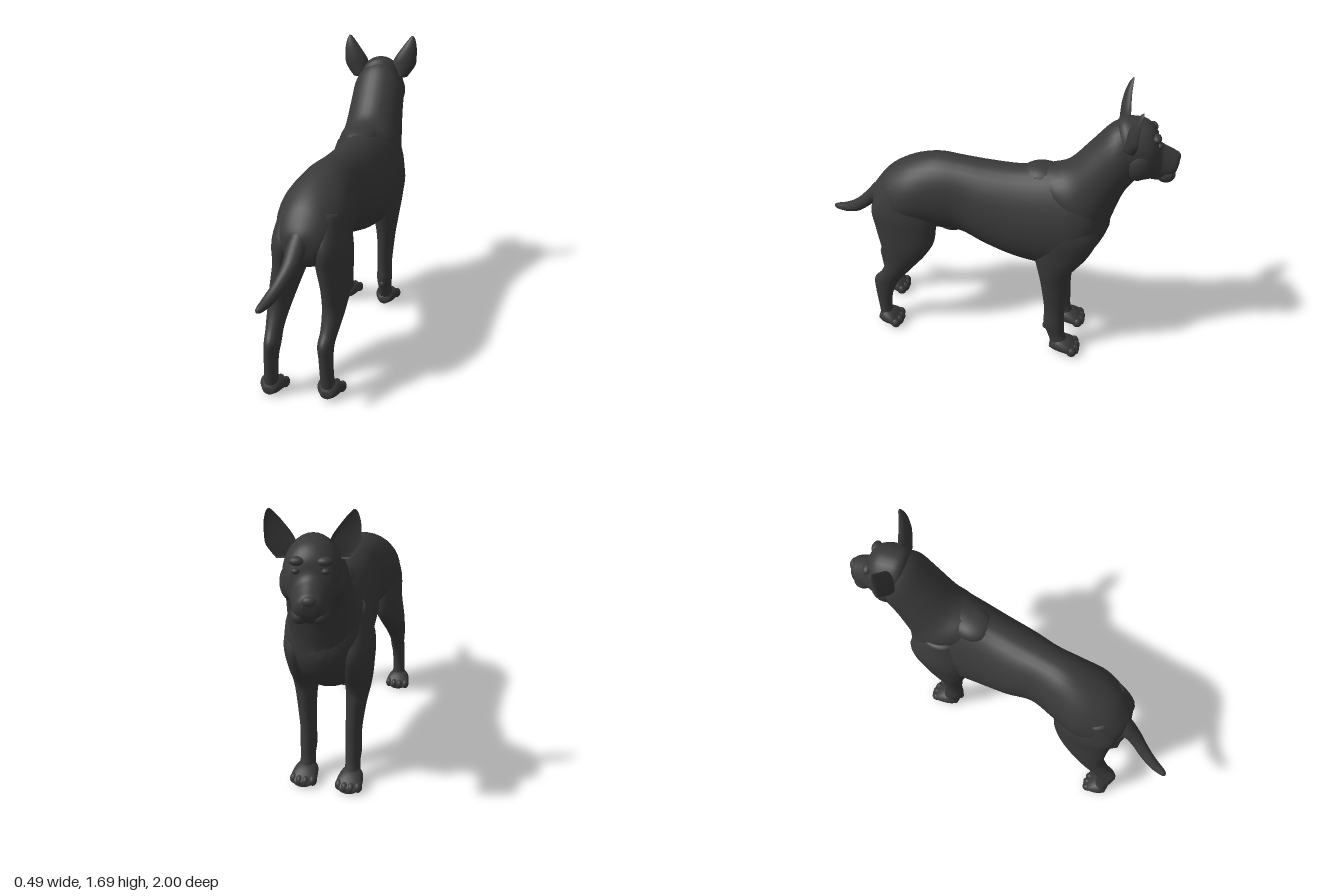
import * as THREE from 'three';

const coat = new THREE.MeshStandardMaterial({ color: 0x393939 });
coat.name = 'charcoalCoat';

// smooth interpolation of one section value
function spline(a, b, c, d, t) {
  const p = (c - a) / 2, q = (d - b) / 2;
  return b + p * t + (3 * (c - b) - 2 * p - q) * t * t + (2 * (b - c) + p + q) * t * t * t;
}

// Skin over oval sections [x, halfWidth, zA, yA, zB, yB, egg]: A and B are the two
// outline points seen from the side, egg widens the B half, cup hollows it.
function loft(name, sections, { cup = -1, warp = null, steps = 5, sides = 32 } = {}) {
  const rings = [];
  const n = sections.length - 1;
  const get = (i, k) => sections[Math.min(Math.max(i, 0), n)][k] ?? 0;
  for (let i = 0; i < n; i++) {
    for (let s = 0; s < steps; s++) {
      rings.push([0, 1, 2, 3, 4, 5, 6].map(k =>
        spline(get(i - 1, k), get(i, k), get(i + 1, k), get(i + 2, k), s / steps)));
    }
  }
  rings.push([0, 1, 2, 3, 4, 5, 6].map(k => get(n, k)));

  const pos = [], idx = [];
  const add = (x, y, z) => {
    const v = new THREE.Vector3(x, y, z);
    if (warp) warp(v);
    pos.push(v.x, v.y, v.z);
  };
  for (const [x, w, zA, yA, zB, yB, egg] of rings) {
    for (let j = 0; j < sides; j++) {
      const a = j / sides * Math.PI * 2;
      const c = Math.cos(a), s = Math.sin(a), d = s < 0 ? -cup * s : s;
      add(x + w * c * (1 - egg * s), (yA + yB) / 2 + (yA - yB) / 2 * d, (zA + zB) / 2 + (zA - zB) / 2 * d);
    }
  }
  for (let i = 0; i < rings.length - 1; i++) {
    for (let j = 0; j < sides; j++) {
      const k = (j + 1) % sides, a = i * sides + j, b = i * sides + k;
      idx.push(a, b, a + sides, b, b + sides, a + sides);
    }
  }
  // end caps
  for (const i of [0, rings.length - 1]) {
    const [x, , zA, yA, zB, yB] = rings[i];
    const centre = pos.length / 3;
    add(x, (yA + yB) / 2, (zA + zB) / 2);
    for (let j = 0; j < sides; j++) {
      const a = i * sides + j, b = i * sides + (j + 1) % sides;
      if (i === 0) idx.push(centre, b, a); else idx.push(centre, a, b);
    }
  }
  // turn the skin outward if its volume comes out negative
  const P = i => new THREE.Vector3(pos[3 * i], pos[3 * i + 1], pos[3 * i + 2]);
  let volume = 0;
  for (let i = 0; i < idx.length; i += 3) volume += P(idx[i]).dot(P(idx[i + 1]).cross(P(idx[i + 2])));
  if (volume < 0) idx.reverse();

  const g = new THREE.BufferGeometry();
  g.setAttribute('position', new THREE.Float32BufferAttribute(pos, 3));
  g.setIndex(idx);
  g.computeVertexNormals();
  const mesh = new THREE.Mesh(g, coat);
  mesh.name = name;
  return mesh;
}

function blob(name, x, y, z, rx, ry, rz) {
  const mesh = new THREE.Mesh(new THREE.SphereGeometry(1, 20, 14), coat);
  mesh.position.set(x, y, z);
  mesh.scale.set(rx, ry, rz);
  mesh.name = name;
  return mesh;
}

// Paw running forward from its heel, with four toes
function paw(x, heel, len) {
  const g = new THREE.Group();
  g.name = 'paw';
  const at = (w, t, top, bottom) => [x, w, heel - len * t, top, heel - len * t, bottom];
  g.add(loft('pawPad', [
    at(0.03, 0, 0.055, 0.015), at(0.058, 0.22, 0.1, 0.003), at(0.072, 0.55, 0.092, 0),
    at(0.07, 0.8, 0.065, 0), at(0.04, 0.97, 0.04, 0.006)]));
  for (let i = 0; i < 4; i++) {
    const o = i - 1.5;
    g.add(blob('toe', x + o * 0.036, 0.032, heel - len * (0.86 - 0.07 * Math.abs(o)), 0.023, 0.031, 0.03));
  }
  return g;
}

// Legs follow one outline; warp moves the lower part to its stance
const hindOutline = [
  [0.1, 0.06, 0.58, 1.04, 0.36, 1.0], [0.11, 0.09, 0.67, 0.88, 0.3, 0.86],
  [0.12, 0.085, 0.655, 0.74, 0.3, 0.7], [0.13, 0.075, 0.63, 0.62, 0.35, 0.59],
  [0.13, 0.06, 0.61, 0.5, 0.45, 0.46], [0.125, 0.046, 0.645, 0.4, 0.525, 0.36],
  [0.12, 0.042, 0.695, 0.335, 0.56, 0.3], [0.125, 0.038, 0.695, 0.26, 0.59, 0.22],
  [0.13, 0.038, 0.68, 0.12, 0.6, 0.12], [0.135, 0.045, 0.67, 0.05, 0.59, 0.06]];
const frontOutline = [
  [0.12, 0.06, -0.36, 1.1, -0.54, 1.08], [0.145, 0.09, -0.28, 0.92, -0.63, 0.9],
  [0.145, 0.085, -0.28, 0.75, -0.59, 0.75], [0.145, 0.07, -0.31, 0.62, -0.5, 0.61],
  [0.14, 0.055, -0.335, 0.5, -0.485, 0.5], [0.13, 0.045, -0.36, 0.32, -0.48, 0.32],
  [0.13, 0.046, -0.36, 0.2, -0.485, 0.2], [0.13, 0.041, -0.385, 0.13, -0.49, 0.13],
  [0.13, 0.046, -0.41, 0.06, -0.515, 0.06]];

function leg(name, outline, side, footX, dz, heel, len) {
  const g = new THREE.Group();
  g.name = name;
  const baseX = outline[outline.length - 1][0];
  const sections = outline.map(s => [side * s[0], ...s.slice(1)]);
  g.add(loft('limb', sections, {
    warp: v => {
      const t = THREE.MathUtils.smoothstep(0.78 - v.y, 0, 0.42);
      v.x += t * (footX - side * baseX);
      v.z += t * dz;
    }
  }));
  g.add(paw(footX, heel + dz, len));
  return g;
}

export function createModel() {
  const dog = new THREE.Group();
  dog.name = 'dog';

  // trunk from rump to breast
  dog.add(loft('torso', [
    [0, 0.03, 0.69, 0.94, 0.69, 0.85], [0, 0.11, 0.66, 0.99, 0.66, 0.78],
    [0, 0.165, 0.58, 1.085, 0.58, 0.74, 0.05], [0, 0.198, 0.45, 1.16, 0.45, 0.74, 0.05],
    [0.005, 0.178, 0.3, 1.207, 0.3, 0.74, 0.05], [0.015, 0.16, 0.15, 1.207, 0.15, 0.735],
    [0.02, 0.185, 0, 1.2, 0, 0.685, 0.08], [0.025, 0.2, -0.18, 1.205, -0.18, 0.635, 0.14],
    [0.02, 0.215, -0.37, 1.232, -0.37, 0.61, 0.14], [0.015, 0.215, -0.5, 1.24, -0.5, 0.625, 0.1],
    [0.01, 0.175, -0.6, 1.17, -0.6, 0.72], [0, 0.1, -0.655, 1.06, -0.655, 0.81],
    [0, 0.03, -0.68, 0.97, -0.68, 0.88]]));
  dog.add(blob('withers', 0.01, 1.17, -0.3, 0.1, 0.058, 0.12));
  dog.add(blob('sheath', 0.01, 0.74, 0.23, 0.04, 0.038, 0.075));

  dog.add(loft('neck', [
    [0.01, 0.12, -0.2, 1.12, -0.6, 0.78], [0.01, 0.19, -0.3, 1.205, -0.66, 0.84],
    [0.01, 0.178, -0.42, 1.255, -0.69, 0.97], [0.005, 0.165, -0.53, 1.38, -0.735, 1.12],
    [0, 0.155, -0.63, 1.5, -0.78, 1.2], [0, 0.12, -0.7, 1.54, -0.82, 1.25]]));

  dog.add(loft('tail', [
    [0, 0.05, 0.62, 1.03, 0.6, 0.86], [-0.01, 0.05, 0.7, 0.935, 0.675, 0.83],
    [-0.02, 0.042, 0.78, 0.84, 0.745, 0.77], [-0.045, 0.036, 0.85, 0.772, 0.82, 0.705],
    [-0.07, 0.03, 0.92, 0.725, 0.905, 0.67], [-0.085, 0.02, 0.98, 0.7, 0.975, 0.665],
    [-0.09, 0.007, 1, 0.688, 1, 0.672]]));

  // head, turned a little about the top of the neck
  const head = new THREE.Group();
  head.name = 'head';
  head.position.set(0, 0, -0.72);
  head.rotation.y = 0.2;
  const skull = new THREE.Group();
  skull.name = 'skull';
  skull.position.z = 0.72;
  head.add(skull);
  skull.add(loft('face', [
    [0, 0.05, -0.645, 1.47, -0.65, 1.38], [0, 0.12, -0.68, 1.547, -0.7, 1.25],
    [0, 0.14, -0.75, 1.555, -0.76, 1.21], [0, 0.135, -0.82, 1.54, -0.81, 1.205],
    [0, 0.115, -0.87, 1.49, -0.85, 1.21], [0, 0.092, -0.895, 1.42, -0.885, 1.205, 0.1],
    [0, 0.082, -0.945, 1.385, -0.93, 1.205, 0.12], [0, 0.068, -0.988, 1.36, -0.97, 1.23, 0.1],
    [0, 0.03, -1.003, 1.33, -0.995, 1.27]]));
  skull.add(blob('nose', 0, 1.335, -0.985, 0.036, 0.026, 0.024));
  for (const side of [-1, 1]) {
    skull.add(blob('brow', side * 0.062, 1.475, -0.858, 0.038, 0.022, 0.026));
    skull.add(blob('eye', side * 0.067, 1.435, -0.878, 0.02, 0.014, 0.015));
    skull.add(blob('lip', side * 0.047, 1.25, -0.935, 0.042, 0.042, 0.05));
    skull.add(blob('cheek', side * 0.1, 1.34, -0.775, 0.055, 0.09, 0.07));
    // cupped upright ear
    skull.add(loft('ear', [
      [side * 0.12, 0.05, -0.69, 1.44, -0.78, 1.44], [side * 0.142, 0.072, -0.695, 1.51, -0.785, 1.5],
      [side * 0.155, 0.066, -0.7, 1.56, -0.78, 1.55], [side * 0.175, 0.045, -0.715, 1.62, -0.77, 1.61],
      [side * 0.188, 0.022, -0.735, 1.665, -0.765, 1.66], [side * 0.192, 0.006, -0.75, 1.685, -0.76, 1.683]],
    { cup: 0.25 }));
  }
  dog.add(head);

  dog.add(leg('leftHindLeg', hindOutline, 1, 0.135, 0, 0.68, 0.152));
  dog.add(leg('rightHindLeg', hindOutline, -1, -0.172, 0.06, 0.68, 0.152));
  for (const side of [-1, 1]) {
    const name = side > 0 ? 'leftFrontLeg' : 'rightFrontLeg';
    const limb = leg(name, frontOutline, side, side * 0.13 + 0.01, 0, -0.405, 0.185);
    limb.add(blob('wristPad', side * 0.13 + 0.01, 0.175, -0.372, 0.02, 0.022, 0.017));
    dog.add(limb);
  }
  return dog;
}
